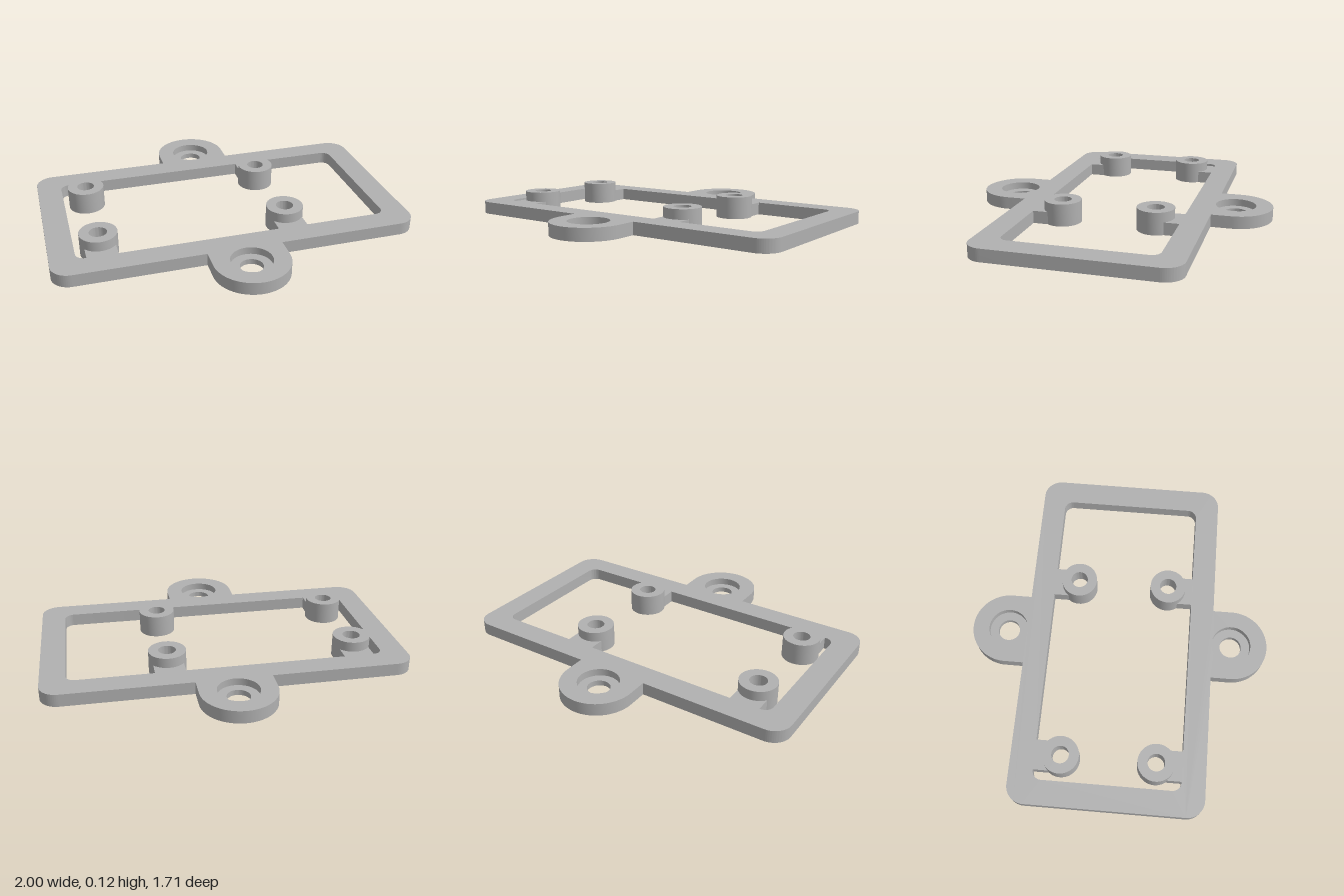
import * as THREE from 'three';
import { toCreasedNormals } from 'three/addons/utils/BufferGeometryUtils.js';

const THICK = 0.07;                       // plate thickness
const OUT = { x: 1, z: 0.54, r: 0.1 };    // outer frame half sizes
const WIN = { x: 0.863, z: 0.407, r: 0.05 }; // window half sizes
const TAB = { z: 0.65, r: 0.205, bore: 0.062, sink: 0.112, floor: 0.03 };
const BOSS = { xs: [-0.727, 0.317], z: 0.262, r: 0.103, bore: 0.048, recess: 0.07, depth: 0.03, top: 0.125 };
const ARM = 0.083;                        // half width of the boss arms

export function createModel() {
  const group = new THREE.Group();
  const grey = new THREE.MeshStandardMaterial({ color: 0xb0b0b0 });
  grey.name = 'grey plastic';

  const add = (name, geometry, x = 0, z = 0) => {
    const mesh = new THREE.Mesh(toCreasedNormals(geometry, 0.6), grey);
    mesh.name = name;
    mesh.position.set(x, 0, z);
    group.add(mesh);
  };
  // Ring turned from a closed profile of [radius, height] points
  const ring = (profile) => new THREE.LatheGeometry(
    [...profile, profile[0]].map(([r, y]) => new THREE.Vector2(r, y)), 48);

  // Frame outline: rounded rectangle with a round mounting tab front and back
  const { x, z, r } = OUT;
  const outline = new THREE.Shape();
  outline.moveTo(-x + r, -z);
  outline.lineTo(-TAB.r, -z);
  outline.absarc(0, -TAB.z, TAB.r, Math.PI, 2 * Math.PI);
  outline.lineTo(TAB.r, -z);
  outline.absarc(x - r, -z + r, r, -Math.PI / 2, 0);
  outline.absarc(x - r, z - r, r, 0, Math.PI / 2);
  outline.lineTo(TAB.r, z);
  outline.absarc(0, TAB.z, TAB.r, 0, Math.PI);
  outline.lineTo(-TAB.r, z);
  outline.absarc(-x + r, z - r, r, Math.PI / 2, Math.PI);
  outline.absarc(-x + r, -z + r, r, Math.PI, 1.5 * Math.PI);

  // Window with arms reaching in to the bosses
  const win = new THREE.Path();
  const wx = WIN.x - WIN.r, wz = WIN.z - WIN.r;
  const armR = BOSS.r - 0.002;
  const a = Math.acos(ARM / armR);
  const arm = (bx, s) => {   // s = -1 runs towards +x, s = 1 towards -x
    const start = s < 0 ? Math.PI + a : a;
    win.lineTo(bx + s * ARM, s * WIN.z);
    win.absarc(bx, s * BOSS.z, armR, start, start + Math.PI - 2 * a);
    win.lineTo(bx - s * ARM, s * WIN.z);
  };
  win.moveTo(-wx, -WIN.z);
  BOSS.xs.forEach((bx) => arm(bx, -1));
  win.absarc(wx, -wz, WIN.r, -Math.PI / 2, 0);
  win.absarc(wx, wz, WIN.r, 0, Math.PI / 2);
  [...BOSS.xs].reverse().forEach((bx) => arm(bx, 1));
  win.absarc(-wx, wz, WIN.r, Math.PI / 2, Math.PI);
  win.absarc(-wx, -wz, WIN.r, Math.PI, 1.5 * Math.PI);
  outline.holes.push(win);

  // Countersunk openings in the tabs
  for (const s of [-1, 1]) {
    outline.holes.push(new THREE.Path().absarc(0, s * TAB.z, TAB.sink, 0, 2 * Math.PI));
  }
  const frame = new THREE.ExtrudeGeometry(outline, { depth: THICK, bevelEnabled: false, curveSegments: 24 });
  frame.rotateX(-Math.PI / 2);
  add('frame', frame);

  for (const s of [-1, 1]) {
    const side = s > 0 ? 'front' : 'back';
    // Thin floor under each screw head, with its screw hole
    add(`${side}TabFloor`, ring([
      [TAB.bore, 0], [TAB.sink, 0], [TAB.sink, TAB.floor], [TAB.bore, TAB.floor],
    ]), 0, s * TAB.z);
    // Standoff bosses, bored through and recessed underneath
    BOSS.xs.forEach((bx, i) => add(`${side}${i ? 'Left' : 'Right'}Boss`, ring([
      [BOSS.recess, 0], [BOSS.r, 0], [BOSS.r, BOSS.top], [BOSS.bore, BOSS.top],
      [BOSS.bore, BOSS.depth], [BOSS.recess, BOSS.depth],
    ]), bx, s * BOSS.z));
  }
  return group;
}
